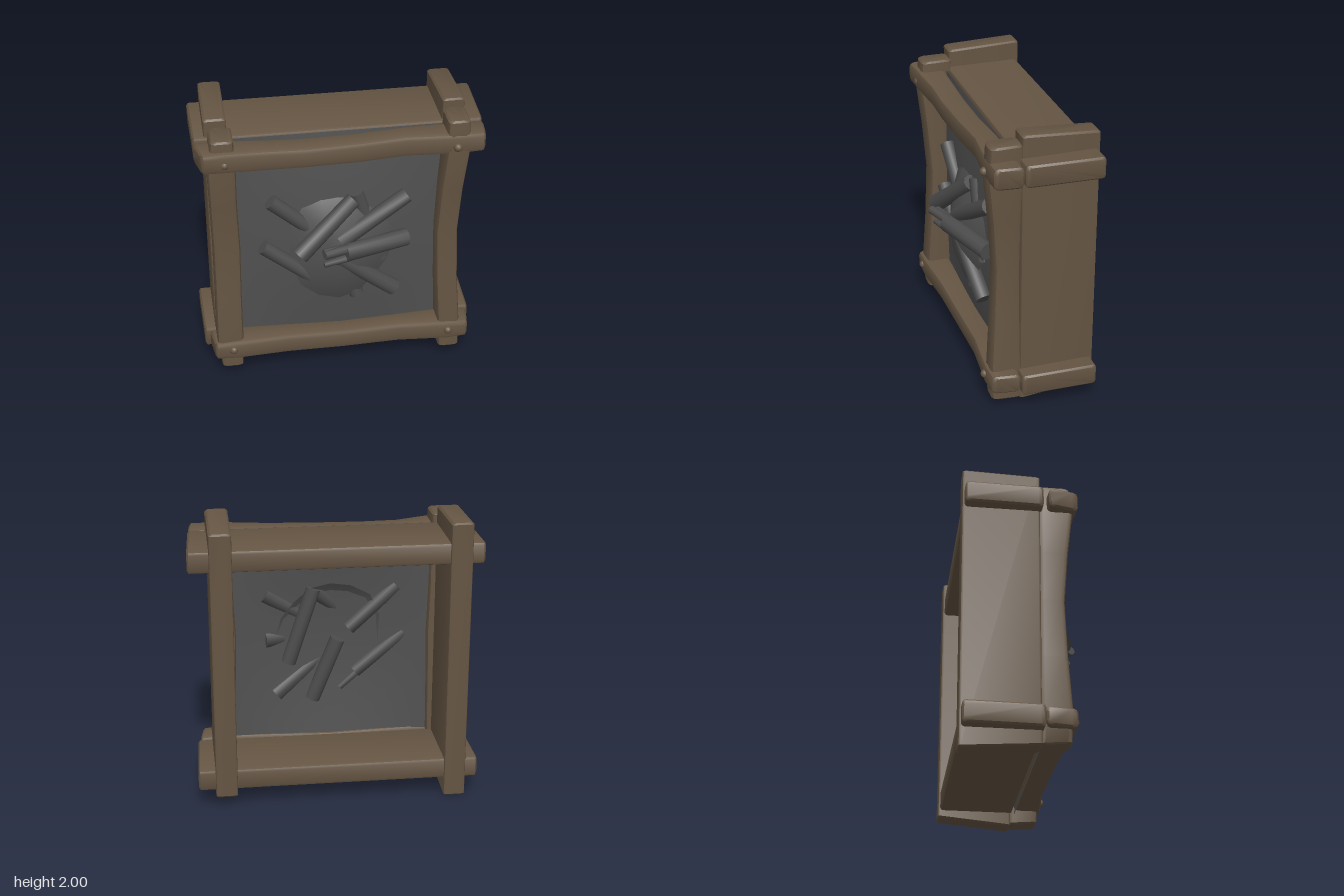
import * as THREE from 'three';
import { toCreasedNormals } from 'three/addons/utils/BufferGeometryUtils.js';

const wood = new THREE.MeshStandardMaterial({ color: 0x655543 });
wood.name = 'brown wood';
const cloth = new THREE.MeshStandardMaterial({ color: 0x505050, side: THREE.DoubleSide });
cloth.name = 'dark grey sheet';
const char = new THREE.MeshStandardMaterial({ color: 0x4c4c4c });
char.name = 'charred grey';

// Rounded-rectangle outline, counter-clockwise, half sizes a and b
function outline(a, b, r) {
  const pts = [];
  [[1, 1], [-1, 1], [-1, -1], [1, -1]].forEach(([su, sv], q) => {
    for (let k = 0; k <= 2; k++) {
      const t = (q + k / 2) * Math.PI / 2;
      pts.push([su * (a - r) + r * Math.cos(t), sv * (b - r) + r * Math.sin(t)]);
    }
  });
  return pts;
}

// Beam along x or y. Stations: [position, cross centre, z centre, cross half, z half, tilt by z]
function beam(axis, stations, r, bevel = 0.012) {
  const shrink = s => [s[0], s[1], s[2], s[3] - bevel, s[4] - bevel, s[5]];
  const first = stations[0], last = stations[stations.length - 1];
  const all = [
    shrink(first), [first[0] + bevel, ...first.slice(1)],
    ...stations.slice(1, -1),
    [last[0] - bevel, ...last.slice(1)], shrink(last),
  ];
  const pos = [], idx = [];
  for (const [t, c, z, hc, hz, tilt = 0] of all) {
    const ring = axis === 'x' ? outline(hc, hz, r) : outline(hz, hc, r);
    for (const [u, v] of ring) {
      if (axis === 'x') pos.push(t + tilt * v, c + u, z + v);
      else pos.push(c + v, t + tilt * u, z + u);
    }
  }
  const n = 12, top = (all.length - 1) * n;
  for (let i = 0; i < all.length - 1; i++) {
    for (let j = 0; j < n; j++) {
      const a = i * n + j, b = i * n + (j + 1) % n;
      idx.push(a, b, b + n, a, b + n, a + n);
    }
  }
  for (let j = 1; j < n - 1; j++) idx.push(0, j + 1, j, top, top + j, top + j + 1);
  const g = new THREE.BufferGeometry();
  g.setAttribute('position', new THREE.Float32BufferAttribute(pos, 3));
  g.setIndex(idx);
  return toCreasedNormals(g, 0.7);
}

export function createModel() {
  const model = new THREE.Group();
  model.name = 'framedFirePit';
  const add = (name, geo, mat) => {
    const m = new THREE.Mesh(geo, mat);
    m.name = name;
    model.add(m);
    return m;
  };

  // Deep outer boards, open at the back
  add('leftBoard', beam('y', [
    [0.06, 0.765, -0.18, 0.075, 0.26, -0.09],
    [1.983, 0.765, -0.18, 0.075, 0.26, 0.065]], 0.015), wood);
  add('rightBoard', beam('y', [
    [0.02, -0.825, -0.18, 0.075, 0.26, 0.07],
    [1.98, -0.825, -0.18, 0.075, 0.26, -0.03]], 0.015), wood);
  add('topBoard', beam('x', [
    [-0.98, 1.775, -0.165, 0.075, 0.26, 0.02],
    [0.972, 1.775, -0.165, 0.075, 0.26, -0.04]], 0.022), wood);
  add('bottomBoard', beam('x', [
    [-0.98, 0.21, -0.165, 0.075, 0.26, 0.02],
    [0.95, 0.21, -0.165, 0.075, 0.26, -0.03]], 0.022), wood);

  // Crooked front posts, tight against the boards
  add('leftPost', beam('y', [
    [0.06, 0.77, 0.173, 0.074, 0.103, 0.08], [0.3, 0.762, 0.175, 0.078, 0.105],
    [0.65, 0.74, 0.163, 0.076, 0.093], [1.05, 0.727, 0.155, 0.075, 0.085],
    [1.4, 0.742, 0.168, 0.076, 0.098], [1.7, 0.765, 0.185, 0.078, 0.115],
    [1.94, 0.765, 0.178, 0.074, 0.108]], 0.03), wood);
  add('rightPost', beam('y', [
    [0.06, -0.795, 0.173, 0.075, 0.103, 0.08], [0.3, -0.805, 0.175, 0.092, 0.105],
    [0.65, -0.8, 0.163, 0.09, 0.093], [1.05, -0.795, 0.155, 0.092, 0.085],
    [1.4, -0.803, 0.168, 0.09, 0.098], [1.7, -0.805, 0.185, 0.092, 0.115],
    [1.915, -0.795, 0.178, 0.075, 0.108]], 0.03), wood);

  // Crooked front rails with angled ends
  add('topRail', beam('x', [
    [-0.955, 1.775, 0.23, 0.07, 0.1, 0.25], [-0.78, 1.772, 0.22, 0.075, 0.1],
    [-0.5, 1.75, 0.2, 0.075, 0.085], [-0.25, 1.748, 0.205, 0.072, 0.085],
    [0.1, 1.752, 0.2, 0.075, 0.08], [0.42, 1.765, 0.185, 0.075, 0.08],
    [0.75, 1.772, 0.205, 0.076, 0.095], [0.95, 1.775, 0.2, 0.072, 0.095, -0.1]], 0.03), wood);
  add('bottomRail', beam('x', [
    [-0.925, 0.225, 0.205, 0.064, 0.1, 0.15], [-0.75, 0.23, 0.21, 0.072, 0.1],
    [-0.4, 0.222, 0.195, 0.072, 0.085], [0, 0.21, 0.19, 0.07, 0.08],
    [0.4, 0.222, 0.19, 0.072, 0.08], [0.75, 0.23, 0.205, 0.074, 0.1],
    [0.91, 0.225, 0.2, 0.066, 0.095, -0.15]], 0.03), wood);

  // Round pegs at the joints
  for (const x of [-0.787, 0.753]) {
    for (const y of [0.24, 1.757]) {
      add('peg', new THREE.SphereGeometry(0.03, 12, 8), wood).position.set(x, y, 0.302);
    }
  }

  // Stretched sheet, bowed a little to the front
  const sheet = new THREE.PlaneGeometry(1.6, 1.71, 16, 16);
  const p = sheet.attributes.position;
  for (let i = 0; i < p.count; i++) {
    const x = p.getX(i) / 0.8, y = p.getY(i) / 0.855;
    p.setZ(i, 0.07 * Math.cos(x * Math.PI / 2) * Math.cos(y * Math.PI / 2));
  }
  sheet.computeVertexNormals();
  add('sheet', sheet, cloth).position.set(-0.02, 0.985, 0.11);

  // Shallow uneven ash mound on the front of the sheet, thicker at the bottom
  const mound = new THREE.SphereGeometry(1, 16, 6, 0, Math.PI * 2, 0, Math.PI / 2);
  mound.rotateX(Math.PI / 2);
  const q = mound.attributes.position;
  for (let i = 0; i < q.count; i++) {
    const x = q.getX(i), y = q.getY(i), z = q.getZ(i);
    const a = Math.atan2(y, x);
    const k = 1 + 0.05 * Math.sin(3 * a + 1) + 0.03 * Math.cos(5 * a);
    q.setXYZ(i, x * 0.37 * k, y * 0.44 * k, z * z * 0.12 - 0.035 * y);
  }
  mound.computeVertexNormals();
  add('ashMound', mound, cloth).position.set(-0.02, 0.99, 0.162);

  // Charred sticks, partly sunk through the sheet: outer end, inner end, radii
  const up = new THREE.Vector3(0, 1, 0);
  const stick = (from, to, rOuter, rInner = rOuter) => {
    const a = new THREE.Vector3(...from), b = new THREE.Vector3(...to);
    const d = b.clone().sub(a);
    const g = toCreasedNormals(new THREE.CylinderGeometry(rInner, rOuter, d.length(), 10), 0.8);
    const m = add('charredStick', g, char);
    m.position.copy(a).lerp(b, 0.5);
    m.quaternion.setFromUnitVectors(up, d.normalize());
  };
  [
    [[-0.49, 1.375, 0.18], [-0.15, 1.07, 0.16], 0.052],
    [[0.08, 1.34, 0.18], [-0.31, 1.01, 0.32], 0.055, 0.062],
    [[0.1, 1.38, 0.15], [0.28, 0.83, 0.15], 0.052],
    [[0.45, 1.34, 0.17], [-0.02, 1.05, 0.25], 0.055],
    [[0.45, 1.0, 0.18], [0.0, 1.01, 0.33], 0.062],
    [[0.37, 0.58, 0.18], [-0.08, 0.95, 0.25], 0.062, 0.05],
    [[0.11, 0.54, 0.16], [-0.07, 1.0, 0.14], 0.053],
    [[-0.55, 1.02, 0.19], [-0.2, 0.73, 0.18], 0.05],
    // split ends
    [[0.02, 1.04, 0.325], [-0.15, 1.05, 0.4], 0.033, 0.03],
    [[0.02, 1.03, 0.3], [-0.15, 1.04, 0.36], 0.033, 0.03],
    [[0.02, 0.965, 0.325], [-0.15, 0.955, 0.375], 0.028, 0.018],
    [[-0.23, 0.735, 0.19], [-0.09, 0.61, 0.18], 0.032, 0.026],
    [[-0.21, 0.76, 0.2], [-0.13, 0.7, 0.2], 0.025, 0.015],
  ].forEach(s => stick(...s));

  return model;
}
